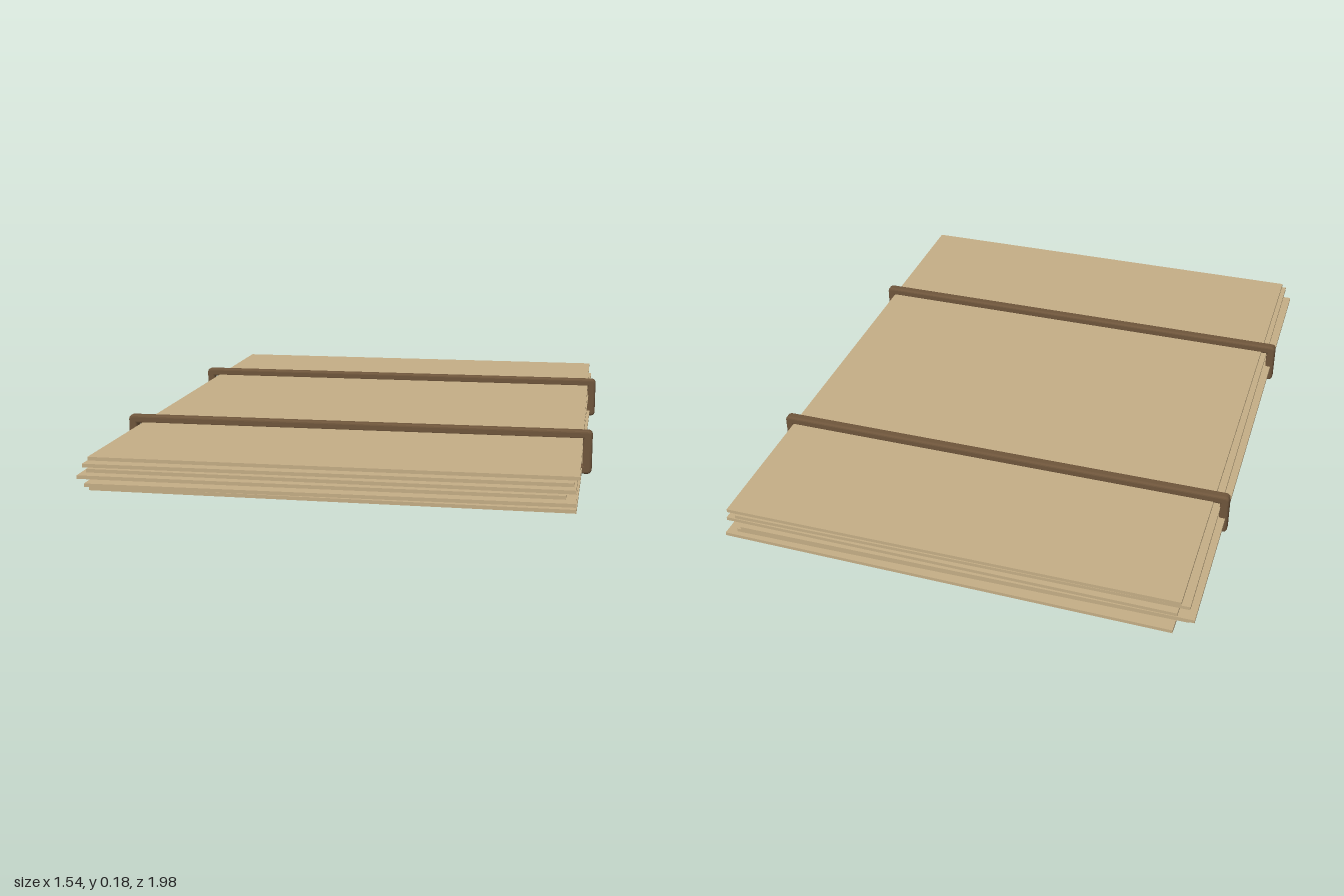
import * as THREE from 'three';

export function createModel() {
  const group = new THREE.Group();
  const parchment = new THREE.MeshStandardMaterial({ name: 'parchment', color: 0xc4ad85 });
  const leather = new THREE.MeshStandardMaterial({ name: 'leather', color: 0x6e553b });

  const add = (name, geometry, material, x, y, z) => {
    const mesh = new THREE.Mesh(geometry, material);
    mesh.name = name;
    mesh.position.set(x, y, z);
    group.add(mesh);
    return mesh;
  };

  // Loose sheets, bottom to top: x, z, turn about y
  const sheets = [
    [0.015, -0.01, -0.012],
    [-0.005, 0.012, 0.008],
    [-0.03, -0.002, 0.003],
    [0.01, 0.0, -0.009],
    [-0.01, 0.005, 0.006],
    [0.01, 0.0, 0],
  ];
  sheets.forEach(([x, z, turn], i) => {
    const sheet = add('sheet', new THREE.BoxGeometry(1.46, 0.011, 1.94), parchment, x, 0.056 + i * 0.0195, z);
    sheet.rotation.y = turn;
  });

  // Straps: rounded rectangular loops around the stack
  const rectangle = (path, x, y0, y1, r) => {
    path.moveTo(-x + r, y0);
    path.lineTo(x - r, y0);
    path.quadraticCurveTo(x, y0, x, y0 + r);
    path.lineTo(x, y1 - r);
    path.quadraticCurveTo(x, y1, x - r, y1);
    path.lineTo(-x + r, y1);
    path.quadraticCurveTo(-x, y1, -x, y1 - r);
    path.lineTo(-x, y0 + r);
    path.quadraticCurveTo(-x, y0, -x + r, y0);
    return path;
  };
  const loop = rectangle(new THREE.Shape(), 0.762, 0.049, 0.175, 0.008);
  loop.holes.push(rectangle(new THREE.Path(), 0.748, 0.063, 0.161, 0.004));
  const strapGeometry = new THREE.ExtrudeGeometry(loop, {
    depth: 0.016, bevelThickness: 0.008, bevelSize: 0.008, bevelSegments: 3, curveSegments: 5,
  });
  strapGeometry.translate(0, 0, -0.008);
  for (const z of [-0.47, 0.455]) add('strap', strapGeometry, leather, 0, 0, z);

  // Tapered spine rod under the stack, running front to back
  const profile = [
    [0, -0.9], [0.006, -0.87], [0.018, -0.79], [0.031, -0.68], [0.04, -0.57], [0.045, -0.45],
    [0.048, -0.25], [0.05, 0], [0.048, 0.25], [0.045, 0.45], [0.04, 0.57], [0.031, 0.68],
    [0.018, 0.79], [0.006, 0.87], [0, 0.9],
  ].map(([r, y]) => new THREE.Vector2(r, y));
  const rodGeometry = new THREE.LatheGeometry(profile, 24).rotateX(Math.PI / 2);
  add('spineRod', rodGeometry, parchment, 0, 0.05, 0);

  return group;
}
